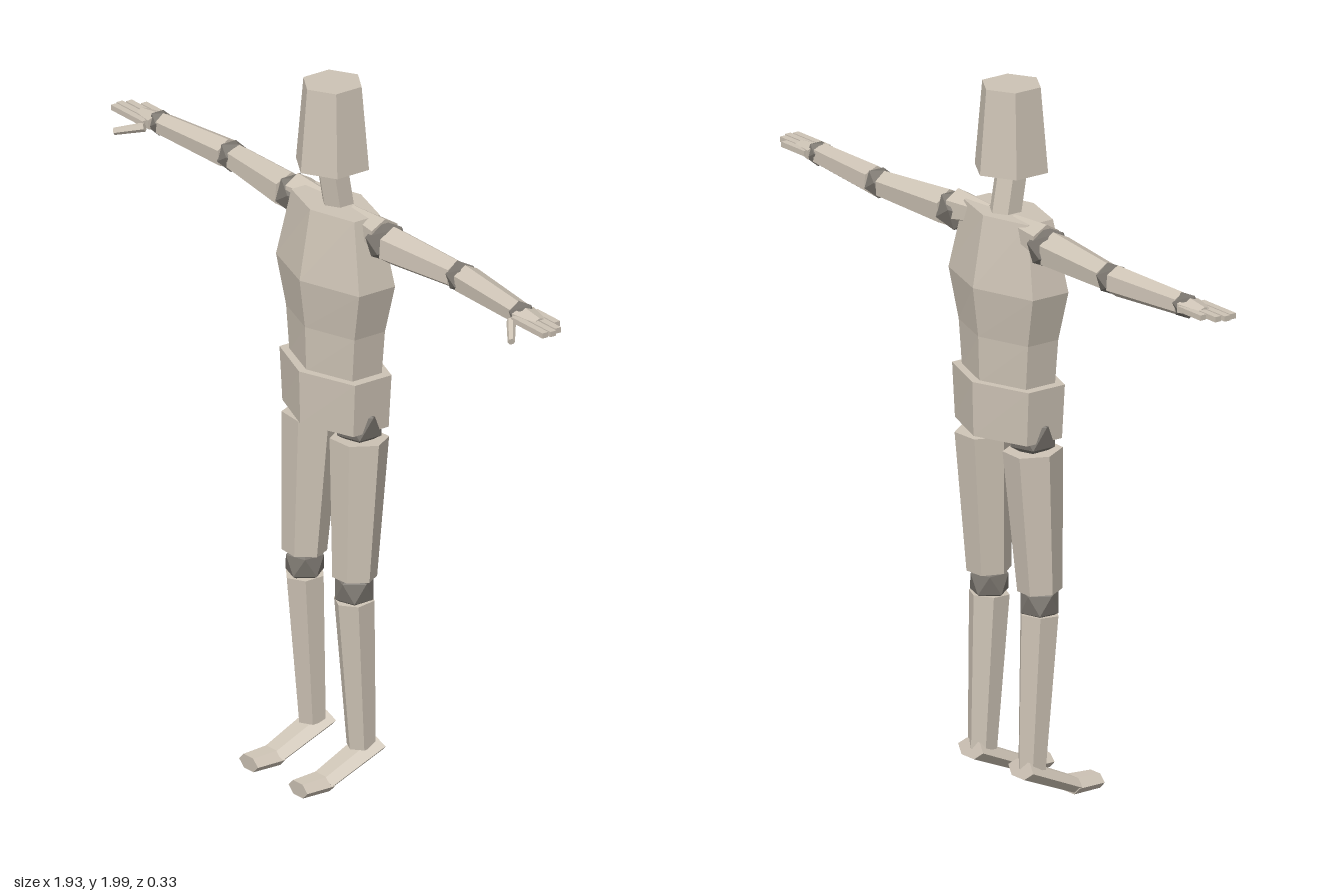
import * as THREE from 'three';

const body = new THREE.MeshStandardMaterial({ color: 0xcdc3b5, flatShading: true });
body.name = 'warm clay';
const dark = new THREE.MeshStandardMaterial({ color: 0x7c7770, flatShading: true });
dark.name = 'dark joint';

const UP = new THREE.Vector3(0, 1, 0);

function mesh(parent, name, geometry, material) {
  const m = new THREE.Mesh(geometry, material);
  m.name = name;
  parent.add(m);
  return m;
}

// Hexagonal column through sections [y, half width, half depth], listed from the top down
function hexStack(parent, name, z, sections) {
  const n = sections.length - 1;
  const g = new THREE.CylinderGeometry(1, 1, n, 6, n);
  const p = g.attributes.position;
  for (let i = 0; i < p.count; i++) {
    const [y, w, d] = sections[Math.round(n / 2 - p.getY(i))];
    p.setXYZ(i, p.getX(i) * w / Math.cos(Math.PI / 6), y, p.getZ(i) * d + z);
  }
  g.computeVertexNormals();
  return mesh(parent, name, g, body);
}

// Tapered hexagonal bone from a to b; twist turns a corner sideways, flat squashes it
function bone(parent, name, a, b, ra, rb, twist = true, flat = 1) {
  const A = new THREE.Vector3(...a), B = new THREE.Vector3(...b);
  const dir = B.clone().sub(A);
  const g = new THREE.CylinderGeometry(rb, ra, dir.length(), 6);
  if (twist) g.rotateY(Math.PI / 6);
  g.scale(1, 1, flat);
  const m = mesh(parent, name, g, body);
  m.position.copy(A).add(B).multiplyScalar(0.5);
  m.quaternion.setFromUnitVectors(UP, dir.normalize());
  return m;
}

// Faceted ball joint with one corner on its axis
function joint(parent, name, pos, r, s, sideways = false) {
  const g = new THREE.IcosahedronGeometry(r, 0);
  g.rotateZ(-Math.atan(2 / (1 + Math.sqrt(5))));
  if (s < 0) g.rotateY(Math.PI);
  if (sideways) g.rotateZ(-s * Math.PI / 2);
  mesh(parent, name, g, dark).position.set(...pos);
}

function buildArm(s) {
  const arm = new THREE.Group();
  arm.name = s > 0 ? 'leftArm' : 'rightArm';
  bone(arm, 'collar', [s * 0.05, 1.622, -0.06], [s * 0.19, 1.61, -0.06], 0.03, 0.05);
  joint(arm, 'shoulderJoint', [s * 0.2, 1.597, -0.06], 0.06, s, true);
  bone(arm, 'upperArm', [s * 0.228, 1.595, -0.06], [s * 0.488, 1.595, -0.08], 0.054, 0.04);
  joint(arm, 'elbowJoint', [s * 0.508, 1.595, -0.08], 0.046, s, true);
  bone(arm, 'forearm', [s * 0.528, 1.595, -0.08], [s * 0.79, 1.595, -0.06], 0.043, 0.033);
  joint(arm, 'wristJoint', [s * 0.802, 1.595, -0.06], 0.037, s, true);

  // Hand: flat palm, four fingers and a thumb
  const palm = bone(arm, 'palm', [s * 0.81, 1.596, -0.058], [s * 0.885, 1.597, -0.058], 0.025, 0.014);
  palm.scale.z = 1.7;
  [[-0.09, 0.92], [-0.067, 0.955], [-0.043, 0.965], [-0.02, 0.96]].forEach(([z, tip]) => {
    const f = mesh(arm, 'finger', new THREE.BoxGeometry(tip - 0.82, 0.015, 0.019), body);
    f.position.set(s * (tip + 0.82) / 2, 1.598, z);
  });
  bone(arm, 'thumb', [s * 0.815, 1.59, -0.015], [s * 0.883, 1.567, 0.036], 0.013, 0.01);
  return arm;
}

function buildLeg(s) {
  const leg = new THREE.Group();
  leg.name = s > 0 ? 'leftLeg' : 'rightLeg';
  const x = s * 0.11;
  joint(leg, 'hipJoint', [s * 0.106, 1.045, -0.04], 0.07, s);
  bone(leg, 'thigh', [s * 0.106, 1.0, -0.04], [s * 0.112, 0.602, -0.02], 0.081, 0.061, false);
  joint(leg, 'kneeJoint', [x, 0.568, -0.02], 0.06, s);
  bone(leg, 'shin', [x, 0.536, -0.02], [s * 0.109, 0.105, -0.044], 0.057, 0.041, false);
  bone(leg, 'foot', [x, 0.108, -0.083], [x, 0.033, 0.088], 0.055, 0.047, true, 0.5);
  bone(leg, 'toes', [x, 0.032, 0.08], [x, 0.03, 0.168], 0.047, 0.042, true, 0.55);
  return leg;
}

export function createModel() {
  const model = new THREE.Group();
  model.name = 'mannequin';

  hexStack(model, 'head', -0.03, [[2.0, 0.073, 0.085], [1.762, 0.092, 0.106]]);
  bone(model, 'neck', [0, 1.62, -0.054], [0, 1.78, -0.026], 0.045, 0.045, false);
  hexStack(model, 'torso', -0.04, [
    [1.648, 0.14, 0.085], [1.45, 0.185, 0.12], [1.31, 0.152, 0.102], [1.18, 0.14, 0.098],
  ]);
  hexStack(model, 'pelvis', -0.04, [[1.186, 0.168, 0.122], [1.033, 0.158, 0.118]]);

  for (const s of [1, -1]) model.add(buildArm(s), buildLeg(s));
  return model;
}
